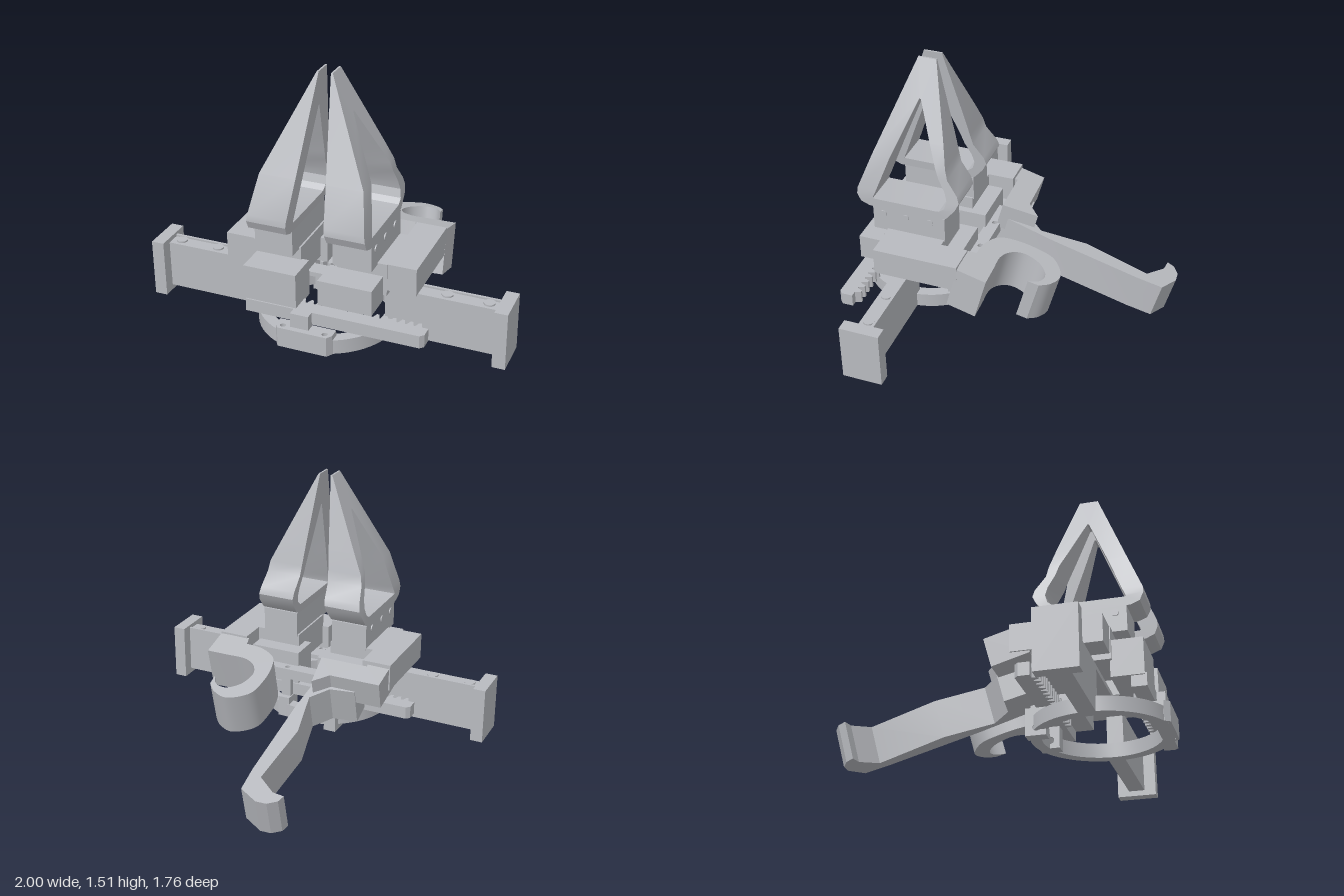
import * as THREE from 'three';
import { toCreasedNormals } from 'three/addons/utils/BufferGeometryUtils.js';

export function createModel() {
  const grey = new THREE.MeshStandardMaterial({ color: 0xb8babf });
  grey.name = 'light grey';

  const model = new THREE.Group();
  model.name = 'gripper';
  // the whole mechanism is turned slightly against the hooks' axes
  const mech = new THREE.Group();
  mech.name = 'mechanism';
  mech.position.z = 0.5;
  mech.rotation.y = -0.063;
  model.add(mech);

  const add = (name, geo, parent = mech) => {
    const m = new THREE.Mesh(geo, grey);
    m.name = name;
    parent.add(m);
    return m;
  };
  // box from its limits
  const box = (name, x0, x1, y0, y1, z0, z1) => {
    const g = new THREE.BoxGeometry(Math.abs(x1 - x0), y1 - y0, Math.abs(z1 - z0));
    g.translate((x0 + x1) / 2, (y0 + y1) / 2, (z0 + z1) / 2);
    return add(name, g);
  };
  // outline with holes that always wind against it
  const makeShape = (pts, holes = []) => {
    if (THREE.ShapeUtils.isClockWise(pts)) pts = pts.slice().reverse();
    const shape = new THREE.Shape(pts);
    for (const h of holes) shape.holes.push(new THREE.Path(h.slice().reverse()));
    return shape;
  };
  const circle = (x, y, r, n = 20) => Array.from({ length: n }, (_, i) =>
    new THREE.Vector2(x + r * Math.cos(i / n * Math.PI * 2), y + r * Math.sin(i / n * Math.PI * 2)));
  // plan outline given as (x, z), raised along y
  const plan = pts => pts.map(([x, z]) => new THREE.Vector2(x, -z));
  const raise = (shape, y0, y1) => {
    const g = new THREE.ExtrudeGeometry(shape, { depth: y1 - y0, bevelEnabled: false });
    g.rotateX(-Math.PI / 2);
    g.translate(0, y0, 0);
    return g;
  };

  // rail halves, end caps and the thin bar that joins them
  box('railBar', -0.93, 0.93, 0.36, 0.385, -0.045, 0.045);
  for (const s of [-1, 1]) {
    box('rail', s * 0.33, s * 0.93, 0.12, 0.375, -0.045, 0.045);
    box('railTopLip', s * 0.3, s * 0.93, 0.375, 0.395, -0.045, -0.03);
    box('endCap', s * 0.925, s * 0.995, 0.09, 0.41, -0.11, 0.11);
    for (const u of [0.65, 0.87]) {
      const screw = new THREE.CylinderGeometry(0.03, 0.03, 0.02, 20);
      screw.translate(s * u, 0.384, 0);
      add('railScrew', screw);
    }
  }

  // base ring
  add('baseRing', toCreasedNormals(raise(makeShape(circle(0, 0, 0.375, 64), [circle(0, 0, 0.315, 64)]), 0.12, 0.2), 0.6));

  // front bracket with two screw holes, and its guide block
  const bracket = plan([[-0.15, 0.29], [0.16, 0.29], [0.16, 0.345], [0.14, 0.375], [-0.13, 0.375], [-0.15, 0.345]]);
  add('frontBracket', raise(makeShape(bracket, [-0.11, 0.12].map(u => circle(u, -0.345, 0.015))), 0.12, 0.23));
  box('guideBlock', -0.07, 0.03, 0.2, 0.31, 0.3, 0.345);

  // back guide plate and pierced lugs
  const plate = plan([[-0.29, -0.355], [0.31, -0.355], [0.31, -0.28], [-0.29, -0.28]]);
  add('backPlate', raise(makeShape(plate, [-0.12, 0.11].map(u => circle(u, 0.325, 0.015))), 0.36, 0.42));
  for (const [u, y0] of [[-0.17, 0.09], [0.12, 0.12]]) {
    const side = [[0.25, y0], [0.36, y0], [0.36, 0.24], [0.25, 0.24]].map(p => new THREE.Vector2(...p));
    const lug = new THREE.ExtrudeGeometry(makeShape(side, [circle(0.3, y0 + 0.045, 0.02)]), { depth: 0.07, bevelEnabled: false });
    lug.rotateY(Math.PI / 2);
    lug.translate(u - 0.035, 0, 0);
    add('backLug', lug);
    box('lugPost', u - 0.03, u + 0.03, 0.2, 0.37, -0.33, -0.3);
  }

  // toothed racks, one turned half round
  const rackPts = [[0.625, 0.22], [0.625, 0.28], [0.605, 0.3], [-0.34, 0.3], [-0.34, 0.22]];
  for (let u = -0.12; u < 0.58; u += 0.045) {
    rackPts.push([u, 0.22], [u + 0.012, 0.188], [u + 0.024, 0.188], [u + 0.036, 0.22]);
  }
  for (const turn of [0, Math.PI]) {
    add('toothedRack', raise(makeShape(plan(rackPts)), 0.24, 0.31)).rotation.y = turn;
  }

  // jaw loop in side view: rim point (z, y) and the matching point of the opening (z, y)
  const jawLoop = [
    [0.297, 0.8, 0.19, 0.8], [0.217, 1.0, 0.114, 1.0], [0.025, 1.505, -0.01, 1.31], [-0.077, 1.505, -0.02, 1.31],
    [-0.178, 1.11, -0.1, 1.11], [-0.203, 1.0, -0.146, 1.0], [-0.217, 0.94, -0.167, 0.94], [-0.275, 0.86, -0.205, 0.87],
    [-0.287, 0.82, -0.218, 0.82], [-0.265, 0.775, -0.205, 0.775], [-0.215, 0.715, -0.175, 0.752], [-0.18, 0.7, -0.15, 0.75],
    [0.23, 0.7, 0.2, 0.75], [0.28, 0.72, 0.208, 0.752], [0.3, 0.765, 0.205, 0.765]];
  const inner = y => THREE.MathUtils.mapLinear(y, 0.7, 1.505, 0.11, 0.032);
  const outer = y => y < 0.77 ? 0.318
    : y < 1 ? THREE.MathUtils.mapLinear(y, 0.77, 1, 0.318, 0.278)
      : THREE.MathUtils.mapLinear(y, 1, 1.505, 0.278, 0.042);
  const jawGeometry = s => {
    const pos = [], index = [], n = jawLoop.length;
    for (const [z, y, hz, hy] of jawLoop) {
      const hi = v => s > 0 ? outer(v) : -inner(v), lo = v => s > 0 ? inner(v) : -outer(v);
      pos.push(hi(y), y, z, lo(y), y, z, lo(hy), hy, hz, hi(hy), hy, hz);
    }
    for (let i = 0; i < n; i++) {
      for (let k = 0; k < 4; k++) {
        const a = i * 4 + k, b = i * 4 + (k + 1) % 4;
        const c = ((i + 1) % n) * 4 + k, d = ((i + 1) % n) * 4 + (k + 1) % 4;
        index.push(a, c, b, b, c, d);
      }
    }
    const g = new THREE.BufferGeometry();
    g.setAttribute('position', new THREE.Float32BufferAttribute(pos, 3));
    g.setIndex(index);
    return toCreasedNormals(g, 0.5);
  };

  for (const s of [-1, 1]) {
    add('jaw', jawGeometry(s));
    // jaw foot with screws on its outer side
    box('jawFoot', s * 0.11, s * 0.318, 0.56, 0.705, -0.205, 0.21);
    for (const w of [-0.12, 0.02, 0.15]) {
      const screw = new THREE.CylinderGeometry(0.02, 0.02, 0.008, 16);
      screw.rotateZ(Math.PI / 2);
      screw.translate(s * 0.32, 0.665, w);
      add('footScrew', screw);
    }
    // carriage, its shoulders and the side beam
    box('carriage', s * 0.1, s * 0.37, 0.39, 0.57, -0.2, 0.13);
    box('sideBeam', s * 0.36, s * 0.525, 0.42, 0.57, -0.35, 0.125);
    for (const f of [-1, 1]) {
      const onRack = f === -s; // this shoulder reaches down to its rack
      box('shoulder', s * 0.06, s * 0.35, onRack ? 0.3 : 0.36, 0.5, f * 0.12, f * 0.292);
    }
  }

  // hooks: plan outlines raised, then tilted down towards the back
  const tilt = -0.26, pivotZ = 0.05;
  const hook = (name, pts, y, height) => {
    const rel = pts.map(([x, z]) => [x, (z - pivotZ) / Math.cos(tilt)]);
    const m = add(name, toCreasedNormals(raise(makeShape(plan(rel)), -height, 0), 0.5), model);
    m.position.set(0, y, pivotZ);
    m.rotation.x = tilt;
  };

  hook('longArmBeam', [[-0.5, 0.18], [-0.485, -0.02], [-0.2, -0.01], [-0.12, -0.08], [-0.1, 0.12],
    [-0.37, 0.11], [-0.37, 0.18]], 0.53, 0.16);
  hook('longArm', [[-0.34, 0.12], [-0.11, 0.13], [-0.07, -0.18], [-0.035, -0.68], [-0.035, -0.82], [-0.14, -0.88],
    [-0.2, -0.88], [-0.25, -0.85], [-0.265, -0.81], [-0.2, -0.8], [-0.1, -0.72], [-0.155, -0.36],
    [-0.115, -0.1], [-0.2, -0.01], [-0.34, 0]], 0.445, 0.213);

  const smooth = (pts, n) => new THREE.SplineCurve(pts.map(p => new THREE.Vector2(...p))).getPoints(n).map(v => [v.x, v.y]);
  const outside = smooth([[0.36, 0.13], [0.26, 0.115], [0.17, 0.06], [0.14, -0.03], [0.14, -0.14], [0.17, -0.25],
    [0.28, -0.315], [0.37, -0.285], [0.42, -0.23]], 36);
  const inside = smooth([[0.42, -0.17], [0.385, -0.225], [0.32, -0.24], [0.25, -0.19], [0.22, -0.1], [0.25, -0.03],
    [0.32, 0.01], [0.42, 0.015]], 30);
  hook('shortHook', [...outside, ...inside, [0.555, 0.02], [0.545, 0.18], [0.37, 0.18]], 0.525, 0.25);

  return model;
}
